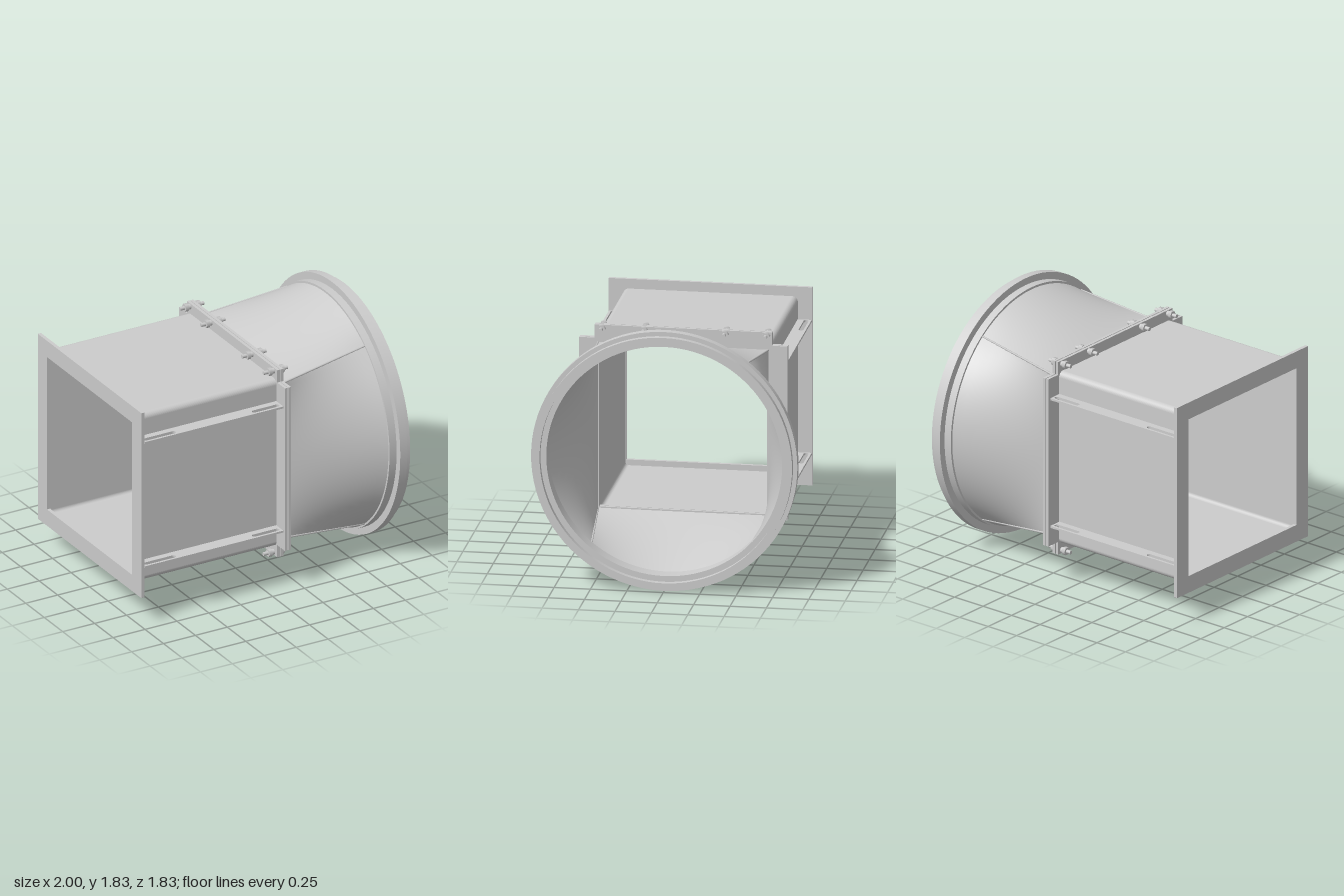
import * as THREE from 'three';

const CY = 0.92; // height of the duct axis
const mat = new THREE.MeshStandardMaterial({ color: 0xcccccc, side: THREE.DoubleSide });

function add(group, name, geo, x = 0, y = 0, z = 0) {
  const mesh = new THREE.Mesh(geo, mat);
  mesh.name = name;
  mesh.position.set(x, y, z);
  group.add(mesh);
  return mesh;
}

// Rectangle with rounded corners, centred on the origin
function roundRect(path, w, h, r) {
  path.moveTo(w, -h + r);
  path.lineTo(w, h - r);
  path.absarc(w - r, h - r, r, 0, Math.PI / 2);
  path.absarc(-w + r, h - r, r, Math.PI / 2, Math.PI);
  path.absarc(-w + r, -h + r, r, Math.PI, Math.PI * 1.5);
  path.absarc(w - r, -h + r, r, Math.PI * 1.5, Math.PI * 2);
  return path;
}

function rectHole(w, h) {
  return new THREE.Path([[-w, -h], [-w, h], [w, h], [w, -h]].map(p => new THREE.Vector2(...p)));
}

// Extrude a cross-section along x from x0 to x1
function alongX(shape, x0, x1) {
  return new THREE.ExtrudeGeometry(shape, { depth: x1 - x0, bevelEnabled: false, curveSegments: 8 })
    .rotateY(Math.PI / 2).translate(x0, 0, 0);
}

// One panel of the square-to-round transition, between two corners
function transitionPanel(c0, c1, a0, a1) {
  const x0 = 0.16, x1 = 0.86, r = 0.853, nu = 32, nv = 10, pos = [], idx = [];
  for (let j = 0; j <= nv; j++) {
    for (let i = 0; i <= nu; i++) {
      const t = i / nu, v = j / nv, a = a0 + (a1 - a0) * t;
      const z = c0[0] + (c1[0] - c0[0]) * t, y = c0[1] + (c1[1] - c0[1]) * t;
      pos.push(x0 + (x1 - x0) * v, y + (r * Math.sin(a) - y) * v, z + (r * Math.cos(a) - z) * v);
      if (i < nu && j < nv) {
        const k = j * (nu + 1) + i;
        idx.push(k, k + nu + 1, k + 1, k + 1, k + nu + 1, k + nu + 2);
      }
    }
  }
  const g = new THREE.BufferGeometry();
  g.setAttribute('position', new THREE.Float32BufferAttribute(pos, 3));
  g.setIndex(idx);
  g.computeVertexNormals();
  return g;
}

function rod(a, b, r) {
  return new THREE.TubeGeometry(new THREE.LineCurve3(a, b), 1, r, 6, false);
}

export function createModel() {
  const model = new THREE.Group();
  model.name = 'ductTransition';

  // Square end flange
  const end = roundRect(new THREE.Shape(), 0.7, 0.7, 0.002);
  end.holes.push(rectHole(0.577, 0.577));
  add(model, 'endFlange', alongX(end, -1, -0.975), 0, CY);

  // Sheet metal duct with softened long edges
  const duct = roundRect(new THREE.Shape(), 0.6, 0.632, 0.04);
  duct.holes.push(roundRect(new THREE.Path(), 0.585, 0.617, 0.025));
  add(model, 'squareDuct', alongX(duct, -0.975, 0.12), 0, CY);

  // Slotted rails along both sides
  for (const side of [1, -1]) {
    for (const y of [0.445, 1.385]) {
      const rail = new THREE.Shape();
      [[-0.97, 0.595], [0.115, 0.595], [0.115, 0.697], [-0.97, 0.697]]
        .forEach(([x, z], i) => (i ? rail.lineTo(x, z) : rail.moveTo(x, z)));
      for (const [a, b] of [[-0.96, -0.71], [-0.11, 0.1]]) {
        const slot = new THREE.Path(), r = 0.017, z = 0.663;
        slot.absarc(a + r, z, r, Math.PI / 2, Math.PI * 1.5);
        slot.absarc(b - r, z, r, -Math.PI / 2, Math.PI / 2);
        rail.holes.push(slot);
      }
      const geo = new THREE.ExtrudeGeometry(rail, { depth: 0.014, bevelEnabled: false, curveSegments: 8 });
      geo.rotateX(Math.PI / 2).translate(0, 0.007, 0);
      const mesh = add(model, 'slottedRail', geo, 0, y, 0);
      if (side < 0) mesh.rotation.x = Math.PI;
    }
  }

  // Pair of notched joint flanges
  const notch = [[0.715, 0.615], [0.61, 0.615], [0.61, 0.708]];
  const joint = new THREE.Shape([
    ...notch, ...[...notch].reverse().map(([z, y]) => [-z, y]),
    ...notch.map(([z, y]) => [-z, -y]), ...[...notch].reverse().map(([z, y]) => [z, -y]),
  ].map(p => new THREE.Vector2(...p)));
  joint.holes.push(rectHole(0.577, 0.577));
  add(model, 'jointFlangeDuct', alongX(joint, 0.117, 0.138), 0, CY);
  add(model, 'jointFlangeTransition', alongX(joint, 0.143, 0.165), 0, CY);

  // Bolts through the top and bottom of the joint
  for (const y of [0.235, 1.605]) {
    for (const z of [-0.57, -0.285, 0.27, 0.56]) {
      const bolt = new THREE.Group();
      bolt.name = 'bolt';
      const part = (name, r, x0, x1, n) => add(bolt, name,
        new THREE.CylinderGeometry(r, r, x1 - x0, n).rotateZ(Math.PI / 2), (x0 + x1) / 2);
      part('shank', 0.013, 0.037, 0.225, 12);
      part('nut', 0.029, 0.072, 0.098, 6);
      part('nut', 0.029, 0.165, 0.193, 6);
      part('washer', 0.02, 0.098, 0.118, 12);
      bolt.position.set(0, y, z);
      model.add(bolt);
    }
  }

  // Square-to-round transition: four panels and the seams between them
  const s = 0.585, A = 0.91;
  const corners = [[s, -s], [s, s], [-s, s], [-s, -s]];
  const angles = [-A, A, Math.PI - A, Math.PI + A, 2 * Math.PI - A];
  for (let i = 0; i < 4; i++) {
    const c = corners[i];
    add(model, 'transitionPanel',
      transitionPanel(c, corners[(i + 1) % 4], angles[i], angles[i + 1]), 0, CY);
    add(model, 'seam', rod(new THREE.Vector3(0.165, c[1], c[0]),
      new THREE.Vector3(0.86, 0.853 * Math.sin(angles[i]), 0.853 * Math.cos(angles[i])), 0.007), 0, CY);
  }

  // Stepped round collar, each straight run of the profile turned separately for sharp edges
  const profile = [[0.81, 0.85], [0.81, 0.96], [0.85, 0.96], [0.85, 1], [0.885, 1], [0.885, 0.96],
    [0.915, 0.96], [0.915, 0.905], [0.865, 0.905], [0.865, 0.85], [0.81, 0.85]];
  const collar = new THREE.Group();
  collar.name = 'roundCollar';
  for (let i = 0; i + 1 < profile.length; i++) {
    const run = [profile[i + 1], profile[i]].map(p => new THREE.Vector2(...p));
    add(collar, 'collarFace', new THREE.LatheGeometry(run, 96).rotateZ(-Math.PI / 2));
  }
  collar.position.y = CY;
  model.add(collar);

  return model;
}
